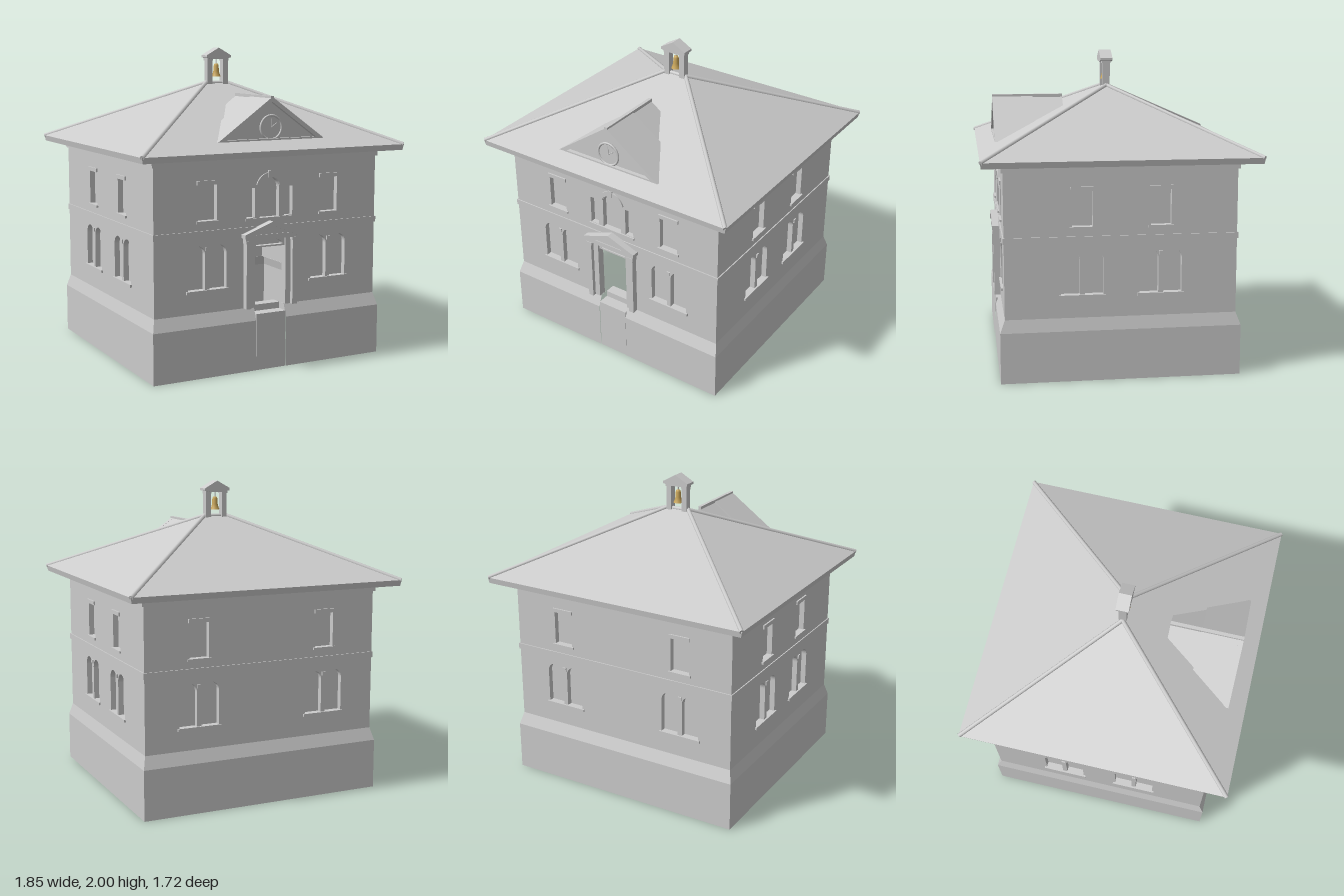
import * as THREE from 'three';
import { ConvexGeometry } from 'three/addons/geometries/ConvexGeometry.js';

const grey = new THREE.MeshStandardMaterial({ color: 0xcccccc, side: THREE.DoubleSide });
const gold = new THREE.MeshStandardMaterial({ color: 0xc9a65a, side: THREE.DoubleSide });
const V = (x, y, z) => new THREE.Vector3(x, y, z);

function add(parent, name, geometry, material = grey) {
  const mesh = new THREE.Mesh(geometry, material);
  mesh.name = name;
  parent.add(mesh);
  return mesh;
}

// Box given by its limits
function box(parent, name, x0, x1, y0, y1, z0, z1) {
  const m = add(parent, name, new THREE.BoxGeometry(x1 - x0, y1 - y0, z1 - z0));
  m.position.set((x0 + x1) / 2, (y0 + y1) / 2, (z0 + z1) / 2);
  return m;
}

const poly = pts => new THREE.Shape(pts.map(p => new THREE.Vector2(...p)));

// Upright shape extruded from z0 to z1
function slab(parent, name, shape, z0, z1) {
  const g = new THREE.ExtrudeGeometry(shape, { depth: z1 - z0, bevelEnabled: false, curveSegments: 12 });
  return add(parent, name, g.translate(0, 0, z0));
}

// Square or round-headed opening, w = half width
function opening({ x, w, y0, y1, arched }, grow = 0) {
  const s = new THREE.Shape(), r = w + grow, top = arched ? y1 - w : y1 + grow;
  s.moveTo(x - r, y0 - grow).lineTo(x + r, y0 - grow).lineTo(x + r, top);
  if (arched) s.absarc(x, top, r, 0, Math.PI, false);
  else s.lineTo(x - r, top);
  s.closePath();
  return s;
}

// Rectangular ring running around the building
function band(parent, name, x, z, y0, y1, t) {
  const rect = (a, b) => [[-a, -b], [a, -b], [a, b], [-a, b]];
  const s = poly(rect(x, z));
  s.holes.push(poly(rect(x - t, z - t)));
  const g = new THREE.ExtrudeGeometry(s, { depth: y1 - y0, bevelEnabled: false });
  return add(parent, name, g.rotateX(-Math.PI / 2).translate(0, y0, 0));
}

// Round bar between two points
function bar(parent, name, a, b, r) {
  const m = add(parent, name, new THREE.CylinderGeometry(r, r, a.distanceTo(b), 8));
  m.position.copy(a).add(b).multiplyScalar(0.5);
  m.quaternion.setFromUnitVectors(V(0, 1, 0), b.clone().sub(a).normalize());
  return m;
}

// One wall facing +z in its own frame, with recessed windows and trim
function wall(parent, name, half, dist, angle, bay, front) {
  const g = new THREE.Group();
  g.name = name;
  g.rotation.y = angle;
  parent.add(g);
  const windows = [];
  for (const s of [-1, 1]) {
    const c = s * bay;
    for (const d of [-0.073, 0.073]) windows.push({ x: c + d, w: 0.058, y0: 0.545, y1: 0.82, arched: true });
    windows.push({ x: c, w: 0.064, y0: 0.97, y1: 1.19 });
    box(g, 'lowerSill', c - 0.145, c + 0.145, 0.528, 0.545, dist - 0.03, dist + 0.012);
    box(g, 'impost', c - 0.012, c + 0.012, 0.785, 0.81, dist - 0.01, dist + 0.008);
    box(g, 'upperSill', c - 0.078, c + 0.078, 0.955, 0.97, dist - 0.03, dist + 0.012);
    box(g, 'lintel', c - 0.072, c + 0.072, 1.19, 1.215, dist - 0.01, dist + 0.01);
    if (front) windows.push({ x: s * 0.135, w: 0.03, y0: 0.965, y1: 1.15 });
  }
  if (front) {
    windows.push({ x: 0, w: 0.068, y0: 0.96, y1: 1.212, arched: true });
    // Curved hood over the middle window
    const hood = new THREE.Shape();
    hood.absarc(0, 1.144, 0.098, 0.25, Math.PI - 0.25, false);
    hood.absarc(0, 1.144, 0.07, Math.PI - 0.25, 0.25, true);
    slab(g, 'windowHood', hood, dist - 0.005, dist + 0.01);
    box(g, 'keystone', -0.014, 0.014, 1.21, 1.255, dist - 0.005, dist + 0.014);
    box(g, 'centreSill', -0.175, 0.175, 0.948, 0.962, dist - 0.03, dist + 0.01);
  }
  const door = front ? [[-0.11, 0.4], [-0.11, 0.775], [0.11, 0.775], [0.11, 0.4]] : [];
  const s = poly([[-half, 0.4], ...door, [half, 0.4], [half, 1.36], [-half, 1.36]]);
  for (const w of windows) {
    s.holes.push(opening(w));
    slab(g, 'windowPane', opening(w, 0.008), dist - 0.055, dist - 0.035);
  }
  if (front) {
    const fan = new THREE.Shape();
    fan.absellipse(0, 0.785, 0.095, 0.042, 0, Math.PI, false, 0);
    fan.closePath();
    s.holes.push(fan);
    box(g, 'fanlightPane', -0.11, 0.11, 0.776, 0.835, dist - 0.05, dist - 0.035);
  }
  slab(g, 'wallFace', s, dist - 0.036, dist);
}

// Open plinth with sloped top, split at the entrance
function plinth(parent) {
  const levels = [[0, 0.81, 0.75], [0.32, 0.81, 0.75], [0.4, 0.79, 0.72], [0.4, 0.75, 0.68]];
  const ring = ([y, x, z]) => [V(0.108, y, z), V(x, y, z), V(x, y, -z), V(-x, y, -z), V(-x, y, z), V(-0.108, y, z)];
  const pos = [];
  for (let i = 0; i < levels.length - 1; i++) {
    const a = ring(levels[i]), b = ring(levels[i + 1]);
    for (let j = 0; j < 5; j++)
      for (const p of [a[j], a[j + 1], b[j + 1], a[j], b[j + 1], b[j]]) pos.push(p.x, p.y, p.z);
  }
  const g = new THREE.BufferGeometry();
  g.setAttribute('position', new THREE.Float32BufferAttribute(pos, 3));
  g.computeVertexNormals();
  add(parent, 'plinth', g);
}

export function createModel() {
  const model = new THREE.Group();
  model.name = 'house';

  // Base and entrance steps
  plinth(model);
  box(model, 'entranceStep', -0.105, 0.105, 0, 0.36, 0.67, 0.748);
  box(model, 'threshold', -0.105, 0.105, 0, 0.4, 0.6, 0.67);

  // Walls and string courses
  wall(model, 'frontWall', 0.79, 0.72, 0, 0.433, true);
  wall(model, 'backWall', 0.79, 0.72, Math.PI, 0.433, false);
  wall(model, 'leftWall', 0.72, 0.79, Math.PI / 2, 0.243, false);
  wall(model, 'rightWall', 0.72, 0.79, -Math.PI / 2, 0.243, false);
  band(model, 'stringCourse', 0.797, 0.727, 0.872, 0.91, 0.03);
  band(model, 'frieze', 0.802, 0.732, 1.308, 1.35, 0.03);

  // Portico
  const portico = new THREE.Group();
  portico.name = 'portico';
  model.add(portico);
  for (const s of [-1, 1]) {
    const post = (name, a, b, y0, y1, z) => box(portico, name, Math.min(s * a, s * b), Math.max(s * a, s * b), y0, y1, 0.71, z);
    post('column', 0.147, 0.182, 0.4, 0.83, 0.76);
    post('columnCapital', 0.14, 0.188, 0.81, 0.83, 0.765);
    post('doorJamb', 0.11, 0.147, 0.4, 0.83, 0.735);
  }
  box(portico, 'entablature', -0.188, 0.188, 0.83, 0.862, 0.71, 0.762);
  slab(portico, 'pediment', poly([[-0.19, 0.86], [0.19, 0.86], [0, 0.925]]), 0.71, 0.757);
  slab(portico, 'pedimentCornice', poly([[-0.198, 0.845], [-0.17, 0.845], [0, 0.914], [0.17, 0.845],
    [0.198, 0.845], [0.198, 0.868], [0, 0.94], [-0.198, 0.868]]), 0.71, 0.77);

  // Hipped roof
  const pts = [V(-0.075, 1.77, 0), V(0.075, 1.77, 0)];
  for (const x of [-1, 1]) for (const z of [-1, 1]) {
    pts.push(V(x * 0.918, 1.387, z * 0.855), V(x * 0.91, 1.35, z * 0.85));
    bar(model, 'hipRidge', V(x * 0.915, 1.386, z * 0.852), V(x * 0.075, 1.77, 0), 0.014);
  }
  add(model, 'hippedRoof', new ConvexGeometry(pts));
  bar(model, 'topRidge', V(-0.08, 1.767, 0), V(0.08, 1.767, 0), 0.014);

  // Gabled dormer with clock
  const dormer = new THREE.Group();
  dormer.name = 'dormer';
  model.add(dormer);
  const gable = (w, y0, y1) => [[-w, y0], [w, y0], [0, y1]];
  slab(dormer, 'rearGable', poly(gable(0.355, 1.44, 1.698)), 0.287, 0.49);
  slab(dormer, 'frontGable', poly(gable(0.372, 1.442, 1.706)), 0.482, 0.722);
  const rim = poly(gable(0.374, 1.442, 1.707));
  rim.holes.push(poly(gable(0.315, 1.452, 1.676)));
  slab(dormer, 'gableRim', rim, 0.715, 0.748);
  box(dormer, 'dormerRidge', -0.011, 0.011, 1.692, 1.712, 0.287, 0.748);
  const face = add(dormer, 'clockFace', new THREE.CylinderGeometry(0.074, 0.074, 0.02, 32));
  face.rotation.x = Math.PI / 2;
  face.position.set(0, 1.52, 0.722);
  add(dormer, 'clockRim', new THREE.TorusGeometry(0.074, 0.007, 8, 32)).position.set(0, 1.52, 0.732);
  bar(dormer, 'hourHand', V(0, 1.52, 0.734), V(0.038, 1.545, 0.734), 0.003);
  bar(dormer, 'minuteHand', V(0, 1.52, 0.734), V(0, 1.575, 0.734), 0.002);

  // Bell turret
  const turret = new THREE.Group();
  turret.name = 'bellTurret';
  model.add(turret);
  for (const s of [-1, 1]) {
    box(turret, 'turretPost', s * 0.058 - 0.018, s * 0.058 + 0.018, 1.74, 1.935, -0.024, 0.024);
    box(turret, 'postCap', s * 0.058 - 0.02, s * 0.058 + 0.02, 1.915, 1.935, -0.029, 0.029);
  }
  slab(turret, 'turretRoof', poly([[-0.09, 1.935], [-0.04, 1.925], [0.04, 1.925], [0.09, 1.935],
    [0.09, 1.95], [0, 2], [-0.09, 1.95]]), -0.04, 0.04);
  const profile = [[0.001, 0.085], [0.012, 0.083], [0.017, 0.07], [0.019, 0.035], [0.024, 0.015], [0.031, 0]];
  const bell = add(turret, 'bell', new THREE.LatheGeometry(profile.map(p => new THREE.Vector2(...p)).reverse(), 20), gold);
  bell.position.y = 1.81;
  bar(turret, 'bellHanger', V(0, 1.89, 0), V(0, 1.93, 0), 0.004);
  return model;
}
